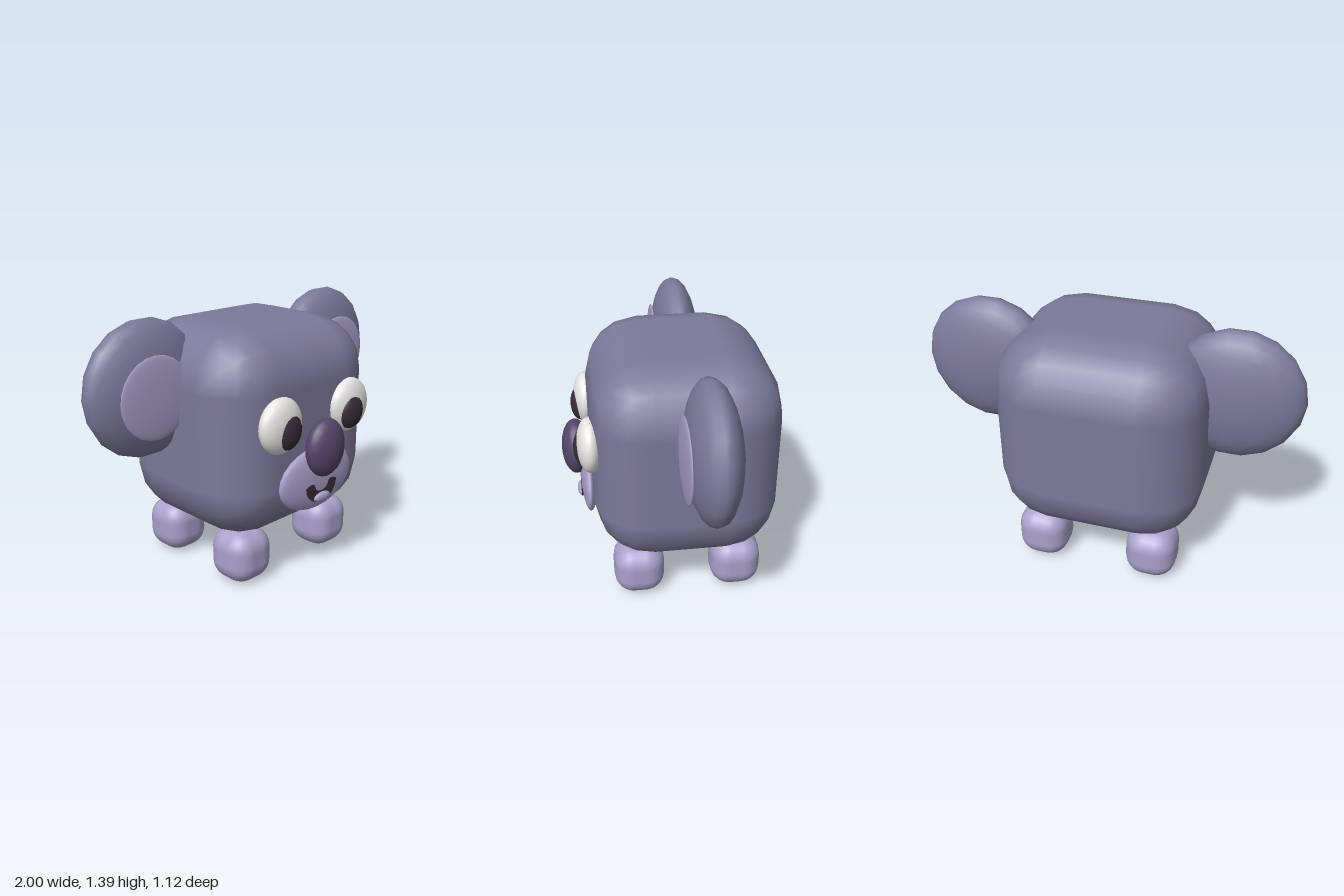
import * as THREE from 'three';
import { RoundedBoxGeometry } from 'three/addons/geometries/RoundedBoxGeometry.js';

const paint = (name, color) => {
  const m = new THREE.MeshStandardMaterial({ color });
  m.name = name;
  return m;
};

export function createModel() {
  const fur = paint('greyFur', 0x7d799b);
  const lilac = paint('paleLilac', 0xaaa1cb);
  const white = paint('eyeWhite', 0xe9e8e6);
  const plum = paint('nosePlum', 0x54476a);
  const dark = paint('darkBrown', 0x372c38);

  const model = new THREE.Group();
  model.name = 'koala';

  const add = (name, geometry, material, position) => {
    const mesh = new THREE.Mesh(geometry, material);
    mesh.name = name;
    mesh.position.set(...position);
    model.add(mesh);
    return mesh;
  };

  // Ellipsoid with its poles facing front and back
  const ellipsoid = (name, material, position, radii, sides = 24, rings = 16) => {
    const g = new THREE.SphereGeometry(1, sides, rings).rotateX(Math.PI / 2);
    g.scale(...radii);
    return add(name, g, material, position);
  };

  // Boxy body
  add('body', new RoundedBoxGeometry(1.09, 1.095, 0.975, 2, 0.3), fur, [0, 0.7875, -0.0725]);

  for (const [side, s] of [['left', 1], ['right', -1]]) {
    // Ears
    ellipsoid(side + 'Ear', fur, [s * 0.648, 1.043, -0.13], [0.352, 0.352, 0.135], 18, 12);
    ellipsoid(side + 'InnerEar', lilac, [s * 0.67, 1.023, -0.004], [0.212, 0.212, 0.019]);

    // Eyes
    ellipsoid(side + 'Eye', white, [s * 0.255, 0.887, 0.42], [0.137, 0.145, 0.068]);
    ellipsoid(side + 'Pupil', dark, [s * 0.237, 0.864, 0.45], [0.085, 0.098, 0.054]);

    // Feet
    for (const [end, z] of [['Front', 0.19], ['Back', -0.3375]]) {
      add(side + end + 'Foot', new RoundedBoxGeometry(0.272, 0.285, 0.272, 3, 0.105), lilac, [s * 0.305, 0.1425, z]);
    }
  }

  // Muzzle and nose
  ellipsoid('muzzle', lilac, [0, 0.55, 0.43], [0.27, 0.17, 0.044]);
  ellipsoid('nose', plum, [0, 0.73, 0.49], [0.125, 0.155, 0.075]);

  // Smiling mouth with a notched upper lip
  const smile = new THREE.Shape();
  smile.moveTo(-0.115, 0.525);
  smile.quadraticCurveTo(-0.085, 0.545, -0.055, 0.533);
  smile.quadraticCurveTo(-0.045, 0.488, 0, 0.488);
  smile.quadraticCurveTo(0.045, 0.488, 0.055, 0.533);
  smile.quadraticCurveTo(0.085, 0.545, 0.115, 0.525);
  smile.bezierCurveTo(0.1, 0.395, -0.1, 0.395, -0.115, 0.525);
  add('mouth', new THREE.ExtrudeGeometry(smile, { depth: 0.009, bevelEnabled: false, curveSegments: 10 }), dark, [0, 0, 0.466]);
  ellipsoid('tongue', lilac, [0, 0.455, 0.477], [0.06, 0.027, 0.018], 16, 10);

  return model;
}
